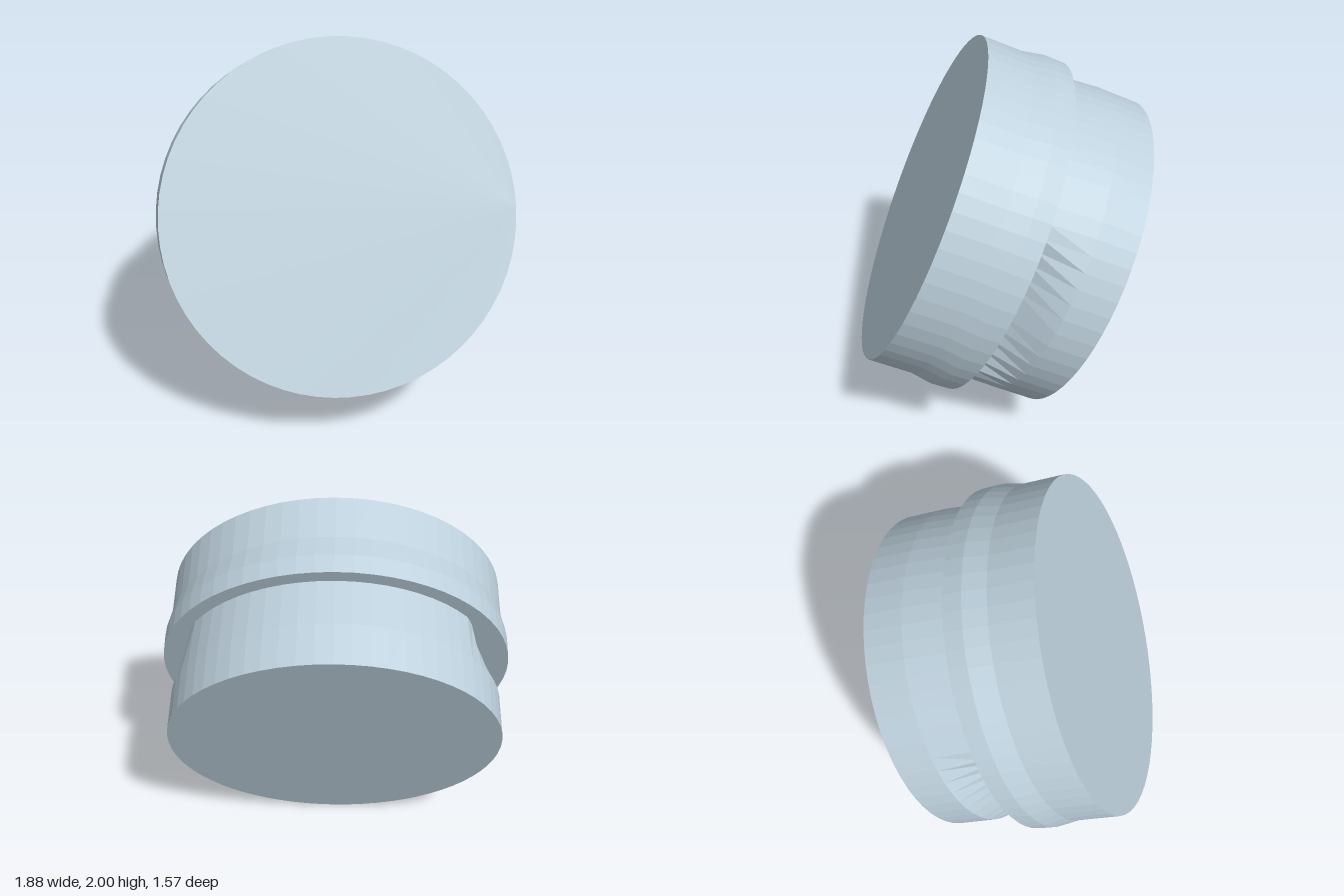
import * as THREE from 'three';

const SEGMENTS = 64;

// Skin closed rings of points, ordered back to front, with optional end caps.
function loft(rings, capBack, capFront) {
  const pos = [], index = [], n = SEGMENTS;
  rings.forEach(ring => ring.forEach(p => pos.push(...p)));
  for (let r = 0; r < rings.length - 1; r++) {
    for (let i = 0; i < n; i++) {
      const a = r * n + i, b = r * n + (i + 1) % n;
      index.push(a, b, b + n, a, b + n, a + n);
    }
  }
  const last = (rings.length - 1) * n;
  for (let i = 1; i < n - 1; i++) {
    if (capBack) index.push(0, i + 1, i);
    if (capFront) index.push(last, last + i, last + i + 1);
  }
  const g = new THREE.BufferGeometry();
  g.setAttribute('position', new THREE.Float32BufferAttribute(pos, 3));
  g.setIndex(index);
  const flat = g.toNonIndexed();
  flat.computeVertexNormals();
  return flat;
}

// A circle across the axis at depth z, its centre raised by cy.
function ring(radius, z, cy = 0) {
  return Array.from({ length: SEGMENTS }, (_, i) => {
    const a = i / SEGMENTS * Math.PI * 2;
    return [radius * Math.cos(a), cy + radius * Math.sin(a), z];
  });
}

// Cut the two sides of a ring to straight chords, matching under a half turn.
function cutSides(points) {
  const low = [0.69, -0.51], high = [0.74, 0.43];
  return points.map(([x, y, z]) => {
    const s = Math.sign(x) || 1;
    const t = (s * y - low[1]) / (high[1] - low[1]);
    if (t <= 0 || t >= 1) return [x, y, z];
    return [s * (low[0] + t * (high[0] - low[0])), y, z];
  });
}

export function createModel() {
  const paleBlue = new THREE.MeshStandardMaterial({ color: 0xbdd0dc });
  paleBlue.name = 'paleBlueGrey';
  paleBlue.flatShading = true;

  const model = new THREE.Group();
  model.name = 'tiltedPlug';

  const add = (name, geometry) => {
    const mesh = new THREE.Mesh(geometry, paleBlue);
    mesh.name = name;
    model.add(mesh);
  };

  // Front drum, flaring into the wider rim
  add('frontDrum', loft([
    ring(0.938, 0), ring(0.939, 0.1), ring(0.915, 0.22), ring(0.913, 0.459),
  ], true, true));

  // Back drum with tapering side cuts where it meets the rim
  add('backDrum', loft([
    ring(0.874, -0.464, 0.013),
    ring(0.872, -0.25, 0.015),
    cutSides(ring(0.857, 0, 0.008)),
  ], true, false));

  // Lean the whole axis back so the front face looks upward
  model.rotation.x = -THREE.MathUtils.degToRad(23.9);
  model.position.set(0, 0.98, 0);

  const root = new THREE.Group();
  root.name = 'plug';
  root.add(model);
  return root;
}
